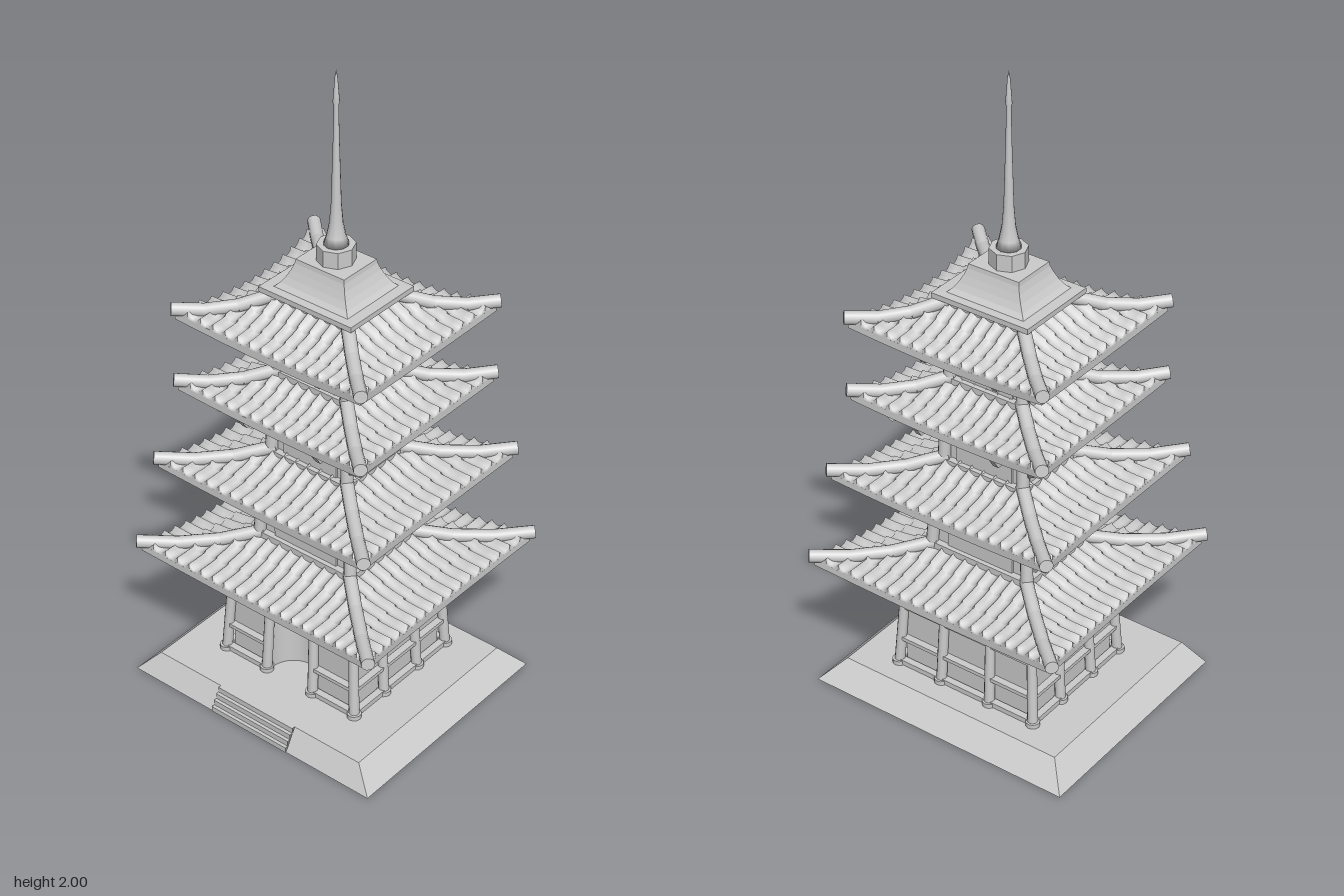
import * as THREE from 'three';

const mat = new THREE.MeshStandardMaterial({ color: 0xcccccc });
const smooth = new THREE.MeshStandardMaterial({ color: 0xcccccc, side: THREE.DoubleSide });
const flat = new THREE.MeshStandardMaterial({ color: 0xcccccc, flatShading: true, side: THREE.DoubleSide });

function add(parent, name, geo, material = mat) {
  const m = new THREE.Mesh(geo, material);
  m.name = name;
  parent.add(m);
  return m;
}
function box(parent, name, w, h, d, x, y, z) {
  const m = add(parent, name, new THREE.BoxGeometry(w, h, d));
  m.position.set(x, y, z);
  return m;
}
// Round bar between two points
function rod(parent, name, p, q, r0, r1 = r0, sides = 12) {
  const a = new THREE.Vector3(...p), b = new THREE.Vector3(...q);
  const m = add(parent, name, new THREE.CylinderGeometry(r1, r0, a.distanceTo(b), sides));
  m.position.copy(a).add(b).multiplyScalar(0.5);
  m.quaternion.setFromUnitVectors(new THREE.Vector3(0, 1, 0), b.sub(a).normalize());
  return m;
}
// Surface through rows of [x, y, z] points
function loft(rows) {
  const idx = [], n = rows[0].length;
  for (let i = 0; i < rows.length - 1; i++)
    for (let j = 0; j < n - 1; j++) {
      const a = i * n + j, b = a + n;
      idx.push(a, a + 1, b, b, a + 1, b + 1);
    }
  const g = new THREE.BufferGeometry();
  g.setAttribute('position', new THREE.Float32BufferAttribute(rows.flat(2), 3));
  g.setIndex(idx);
  g.computeVertexNormals();
  return g;
}
// Rectangular section loft: levels of [y, halfX, halfZ], closed at both ends
function rectLoft(levels) {
  const ring = ([y, x, z]) => [[-x, y, -z], [-x, y, z], [x, y, z], [x, y, -z], [-x, y, -z]];
  const last = levels[levels.length - 1];
  return loft([ring([levels[0][0], 0, 0]), ...levels.map(ring), ring([last[0], 0, 0])]);
}

// One curved roof: inner half sizes, corner half sizes, corner tip height, inner top height
function addRoof(parent, { inner, outer, tip, top }) {
  const roof = new THREE.Group();
  roof.name = 'roof';
  parent.add(roof);
  const yEave = tip - 0.042, lift = 0.032, bow = 0.03;
  for (let k = 0; k < 4; k++) {
    const side = new THREE.Group();
    side.name = 'roofSide';
    side.rotation.y = k * Math.PI / 2;
    roof.add(side);
    const [ai, bi] = k % 2 ? [inner[1], inner[0]] : inner;
    const [ao, bo] = k % 2 ? [outer[1], outer[0]] : outer;
    const surface = (a, t, dy) => {
      const s = a / (ai + (ao - ai) * t);
      return [a, top + (yEave - top) * t - 0.012 * Math.sin(Math.PI * t) + lift * t * t * s * s + dy,
        bi + (bo - bi) * t - bow * t * (1 - s * s)];
    };
    // Slab with a thin eave and a nearly level underside
    const slab = [];
    for (let i = 0; i <= 16; i++) {
      const s = i / 8 - 1, row = [];
      for (let j = 0; j <= 8; j++) row.push(surface(s * (ai + (ao - ai) * j / 8), j / 8, 0));
      for (let j = 8; j >= 0; j--) {
        const t = j / 8, sink = Math.min(1, (1 - t) / 0.25);
        const [x, , z] = surface(s * (ai + (ao - ai) * t), t, 0);
        row.push([x, tip - 0.066 + 0.036 * s * s * t - sink * (0.022 - 0.01 * s * s), z]);
      }
      slab.push(row);
    }
    add(side, 'roofSlab', loft(slab), flat);
    // Scalloped tile columns in three overlapping courses
    const n = Math.round(2 * ao / 0.042), w = 2 * ao / n;
    const profile = [[0, 0.017], [0.15, 0.008], [0.32, 0.003], [0.5, 0.001], [0.68, 0.003], [0.85, 0.008], [1, 0.017]];
    const rows = [];
    for (let c = 0; c < n; c++)
      for (const [f, h] of profile) {
        const a = -ao + (c + f) * w;
        const t0 = Math.min(1, Math.max(0, (Math.abs(a) - ai) / (ao - ai)));
        const row = [];
        for (let r = 0; r < 3; r++)
          for (const e of [0, 0.5, 1]) row.push(surface(a, Math.max(t0, (r + e) / 3), h + 0.006 * e));
        row.push(surface(a, 1, -0.004));
        rows.push(row);
      }
    add(side, 'roofTiles', loft(rows), smooth);
    // Hip ridge in three lengths
    const hip = (t) => surface(ai + (ao - ai) * t, t, 0.012);
    const stops = [0, 0.36, 0.7, 1.04];
    for (let i = 0; i < 3; i++) rod(side, 'hipRidge', hip(stops[i]), hip(stops[i + 1]), 0.0195);
  }
}

// Stepped bracket reaching outward along +z
const bracketShape = new THREE.Shape([[0, -0.07], [0.025, -0.07], [0.035, -0.045], [0.055, -0.045], [0.065, -0.02],
  [0.088, -0.02], [0.1, 0.012], [0, 0.012]].map((p) => new THREE.Vector2(...p)));
function addBracket(parent, x, y, z, angle, reach) {
  const g = new THREE.Group();
  g.name = 'bracket';
  const arm = add(g, 'bracketArm', new THREE.ExtrudeGeometry(bracketShape, { depth: 0.018, bevelEnabled: false }));
  arm.rotation.y = -Math.PI / 2;
  arm.position.x = 0.009;
  box(g, 'bracketCrossArm', 0.07, 0.014, 0.016, 0, -0.012, 0.045);
  g.position.set(x, y, z);
  g.rotation.y = angle;
  g.scale.set(1, 0.8, reach);
  parent.add(g);
}

// Columns, rails and brackets around a storey
function addFrame(parent, { base, head, y0, y1, stops, rails, r, reach }) {
  for (let k = 0; k < 4; k++) {
    const side = new THREE.Group();
    side.name = 'storeySide';
    side.rotation.y = k * Math.PI / 2;
    parent.add(side);
    const [a0, b0] = k % 2 ? [base[1], base[0]] : base;
    const [a1, b1] = k % 2 ? [head[1], head[0]] : head;
    stops.forEach((s, i) => {
      if (i < stops.length - 1) {
        rod(side, 'column', [s * a0, y0, b0], [s * a1, y1, b1], r, r * 0.9);
        rod(side, 'columnFoot', [s * a0, y0, b0], [s * a0, y0 + 0.02, b0], r * 1.35);
        if (i === 0) addBracket(side, s * a1, y1, b1, -Math.PI / 4, reach * 1.25);
      }
      addBracket(side, s * a1, y1, b1, 0, reach);
    });
    for (const [y, h, open] of rails) {
      const f = (y - y0) / (y1 - y0), a = a0 + (a1 - a0) * f, b = b0 + (b1 - b0) * f;
      for (let i = 0; i < stops.length - 1; i++) {
        if (open && k === 0 && i === 1) continue;
        box(side, 'rail', a * (stops[i + 1] - stops[i]), h, 0.022, a * (stops[i] + stops[i + 1]) / 2, y, b);
      }
    }
  }
}

// Hollow sloped plinth, its front slope parted by a flight of steps
function addPlinth(parent) {
  const plinth = new THREE.Group();
  plinth.name = 'plinth';
  parent.add(plinth);
  const h = 0.07, step = 0.142;
  const low = [[step, 0, 0.4], [0.445, 0, 0.4], [0.445, 0, -0.36], [-0.445, 0, -0.36], [-0.445, 0, 0.4], [-step, 0, 0.4]];
  const high = [[step, h, 0.36], [0.38, h, 0.36], [0.38, h, -0.295], [-0.38, h, -0.295], [-0.38, h, 0.36], [-step, h, 0.36]];
  add(plinth, 'plinthSlopes', loft([low, high]), flat);
  add(plinth, 'plinthDeck', loft([[high[4], high[1]], [high[3], high[2]]]), flat);
  const flight = [];
  for (let i = 0; i < 4; i++) flight.push([i * h / 4, 0.402 - i * 0.0105], [(i + 1) * h / 4, 0.402 - i * 0.0105]);
  flight.push([h, 0.355]);
  add(plinth, 'steps', loft([-step, step].map((x) => flight.map(([y, z]) => [x, y, z]))), flat);
}

export function createModel() {
  const model = new THREE.Group();
  model.name = 'pagoda';
  addPlinth(model);

  // Ground storey: walls with a rounded entrance recess
  const plan = new THREE.Shape();
  plan.moveTo(-0.228, -0.198);
  plan.lineTo(-0.08, -0.198);
  plan.absarc(0, -0.198, 0.08, Math.PI, 0, true);
  plan.lineTo(0.228, -0.198);
  plan.lineTo(0.228, 0.198);
  plan.lineTo(-0.228, 0.198);
  const walls = add(model, 'groundWalls', new THREE.ExtrudeGeometry(plan, { depth: 0.22, bevelEnabled: false, curveSegments: 16 }));
  walls.rotation.x = -Math.PI / 2;
  walls.position.y = 0.066;
  box(model, 'groundUpperWall', 0.44, 0.17, 0.385, 0, 0.365, 0);
  addFrame(model, { base: [0.245, 0.215], head: [0.225, 0.197], y0: 0.064, y1: 0.392, stops: [-1, -0.36, 0.36, 1],
    rails: [[0.08, 0.016, true], [0.165, 0.012, true], [0.28, 0.01], [0.308, 0.016], [0.38, 0.016]], r: 0.016, reach: 0.95 });

  // Upper storeys
  const storeys = [
    { base: [0.172, 0.145], head: [0.158, 0.133], y0: 0.46, tip: 0.775 },
    { base: [0.14, 0.122], head: [0.133, 0.116], y0: 0.75, tip: 1.04 },
    { base: [0.127, 0.108], head: [0.122, 0.104], y0: 1.02, tip: 1.275 },
  ];
  for (const { base, head, y0, tip } of storeys) {
    const y1 = tip - 0.085, g = new THREE.Group();
    g.name = 'upperStorey';
    model.add(g);
    add(g, 'storeyWall', rectLoft([[y0, base[0] - 0.01, base[1] - 0.01], [tip + 0.01, head[0] - 0.01, head[1] - 0.01]]), flat);
    const h = y1 - y0 - 0.06, yc = (y0 + y1) / 2;
    box(g, 'wallPanelFront', head[0] * 1.45, h, base[1] * 2 - 0.01, 0, yc, 0);
    box(g, 'wallPanelSide', base[0] * 2 - 0.01, h, head[1] * 1.45, 0, yc, 0);
    addFrame(g, { base, head, y0, y1, stops: [-1, 1], r: 0.019, reach: 1.4,
      rails: [[y0 + 0.04, 0.02], [y1 - 0.01, 0.02]] });
  }

  // Four roofs
  addRoof(model, { inner: [0.16, 0.135], outer: [0.422, 0.377], tip: 0.475, top: 0.492 });
  addRoof(model, { inner: [0.13, 0.112], outer: [0.374, 0.34], tip: 0.775, top: 0.792 });
  addRoof(model, { inner: [0.118, 0.1], outer: [0.327, 0.297], tip: 1.04, top: 1.057 });
  addRoof(model, { inner: [0.13, 0.108], outer: [0.327, 0.297], tip: 1.275, top: 1.3 });

  // Concave cap on the top roof
  add(model, 'roofCap', rectLoft([[1.27, 0.135, 0.11], [1.315, 0.14, 0.115], [1.322, 0.163, 0.136], [1.338, 0.163, 0.136],
    [1.339, 0.13, 0.11], [1.352, 0.117, 0.098], [1.37, 0.105, 0.088], [1.392, 0.094, 0.079], [1.412, 0.087, 0.072],
    [1.425, 0.085, 0.07]]), flat);

  // Octagonal drum and needle spire
  const drum = add(model, 'spireDrum', new THREE.CylinderGeometry(0.055, 0.055, 0.05, 8), flat);
  drum.position.y = 1.45;
  const needle = [[0, 1.47], [0.036, 1.475], [0.028, 1.5], [0.02, 1.54], [0.015, 1.6], [0.012, 1.7], [0.009, 1.8],
    [0.007, 1.9], [0.01, 1.905], [0.008, 1.93], [0.004, 1.98], [0, 2]];
  add(model, 'spire', new THREE.LatheGeometry(needle.map((p) => new THREE.Vector2(...p)), 10));
  return model;
}
